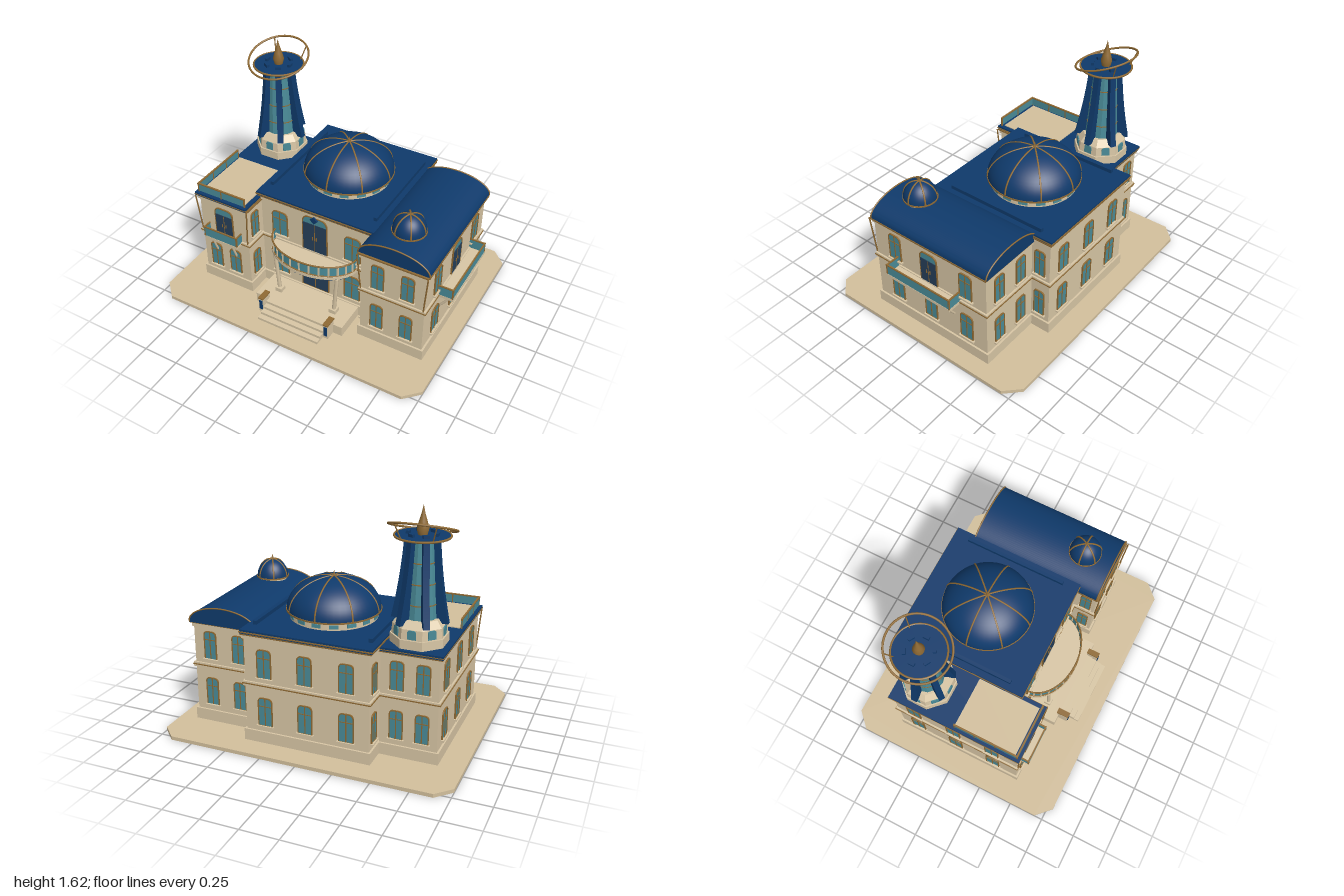
import * as THREE from 'three';
import { toCreasedNormals } from 'three/addons/utils/BufferGeometryUtils.js';

const mat = (name, color, side = THREE.FrontSide) => {
  const m = new THREE.MeshStandardMaterial({ color, side });
  m.name = name;
  return m;
};

export function createModel() {
  const cream = mat('cream stone', 0xd8c6a5), paving = mat('paving', 0xd2bf9c);
  const blue = mat('blue roof', 0x0f3a6b), gold = mat('gold trim', 0x8f6a34);
  const glass = mat('teal glass', 0x4a8b98, THREE.DoubleSide), navy = mat('navy door', 0x263f59);
  const root = new THREE.Group();
  root.name = 'domedVilla';

  const add = (name, geo, m, parent = root, x = 0, y = 0, z = 0) => {
    const mesh = new THREE.Mesh(geo, m);
    mesh.name = name;
    mesh.position.set(x, y, z);
    parent.add(mesh);
    return mesh;
  };
  const group = (name, x, y, z, ry = 0, parent = root) => {
    const g = new THREE.Group();
    g.name = name;
    g.position.set(x, y, z);
    g.rotation.y = ry;
    parent.add(g);
    return g;
  };
  // box given by its limits
  const box = (name, m, x0, x1, y0, y1, z0, z1, parent = root) =>
    add(name, new THREE.BoxGeometry(x1 - x0, y1 - y0, z1 - z0), m, parent, (x0 + x1) / 2, (y0 + y1) / 2, (z0 + z1) / 2);
  const V = (x, y, z) => new THREE.Vector3(x, y, z);
  const extrude = (shape, depth) =>
    new THREE.ExtrudeGeometry(shape, { depth, bevelEnabled: false, curveSegments: 24 });
  const flat = (geo) => { const g = geo.toNonIndexed(); g.computeVertexNormals(); return g; };
  const strut = (name, m, a, b, r, parent = root) => {
    const mesh = add(name, new THREE.CylinderGeometry(r, r, a.distanceTo(b), 6), m, parent);
    mesh.position.copy(a).add(b).multiplyScalar(0.5);
    mesh.quaternion.setFromUnitVectors(V(0, 1, 0), b.clone().sub(a).normalize());
  };
  const tube = (name, m, pts, r, parent = root) =>
    add(name, new THREE.TubeGeometry(new THREE.CatmullRomCurve3(pts), 48, r, 6), m, parent);
  const half = (fn, n = 32) => Array.from({ length: n + 1 }, (_, i) => fn((Math.PI * i) / n));

  // opening with shouldered arch, centred on x, standing on y = 0
  const arch = (w, h, C = THREE.Shape) => {
    const s = new C(), a = w / 2, r = w * 0.32;
    s.moveTo(-a, 0); s.lineTo(a, 0); s.lineTo(a, h - r);
    s.quadraticCurveTo(a, h, a - r, h); s.lineTo(r - a, h);
    s.quadraticCurveTo(-a, h, -a, h - r); s.lineTo(-a, 0);
    return s;
  };
  const frame = (w, h) => {
    const s = arch(w + 0.012, h + 0.006);
    s.holes.push(arch(w, h, THREE.Path));
    return extrude(s, 0.01);
  };
  const windowAt = (x, y, z, ry, w = 0.09, h = 0.19) => {
    const g = group('window', x, y, z, ry);
    add('windowGlass', extrude(arch(w, h), 0.005), glass, g);
    add('windowFrame', frame(w, h), gold, g);
    box('mullion', gold, -0.003, 0.003, 0, h, 0.004, 0.009, g);
    box('transom', gold, -w / 2, w / 2, h * 0.7, h * 0.7 + 0.005, 0.004, 0.009, g);
    box('sill', cream, -w / 2 - 0.015, w / 2 + 0.015, -0.012, 0, 0, 0.02, g);
  };
  const doorAt = (x, y, z, ry, w, h, transom) => {
    const g = group('door', x, y, z, ry);
    add('doorFan', extrude(arch(w, h), 0.005), transom ? glass : navy, g);
    if (transom) box('doorLeaves', navy, -w / 2, w / 2, 0, h - transom, 0.002, 0.009, g);
    add('doorFrame', frame(w, h), gold, g);
    box('doorSplit', gold, -0.002, 0.002, 0, h - transom, 0.006, 0.011, g);
    for (const s of [-1, 1]) box('doorHandle', gold, s * 0.014 - 0.003, s * 0.014 + 0.003, h * 0.35, h * 0.45, 0.006, 0.014, g);
  };

  // paved ground slab with cut corners
  const slab = new THREE.Shape();
  [[-1, -0.69], [-0.9, -0.79], [0.9, -0.79], [1, -0.69], [1, 0.69], [0.9, 0.79], [-0.9, 0.79], [-1, 0.69]]
    .forEach(([x, z], i) => (i ? slab.lineTo(x, z) : slab.moveTo(x, z)));
  add('groundSlab', extrude(slab, 0.025).rotateX(-Math.PI / 2), paving);

  // three wall blocks with plinth, string course and eaves band
  const blocks = [['centre', -0.43, 0.42, -0.62, 0.29, 0.775], ['leftHandTowerWing', -0.82, -0.44, -0.46, 0.455, 0.74],
    ['vaultedWing', 0.42, 0.87, -0.48, 0.445, 0.74]];
  for (const [n, x0, x1, z0, z1, top] of blocks) {
    const ring = (part, m, p, y0, y1) => box(n + part, m, x0 - p, x1 + p, y0, y1, z0 - p, z1 + p);
    ring('Walls', cream, 0, 0.02, top);
    ring('Plinth', cream, 0.013, 0.02, 0.105);
    ring('Course', cream, 0.012, 0.415, 0.448);
    ring('CourseLine', gold, 0.016, 0.43, 0.437);
    ring('Frieze', cream, 0.01, top - 0.035, top - 0.01);
    ring('EavesLine', gold, 0.018, top - 0.01, top);
  }

  // windows: [x, z, rotation, width] repeated on both floors
  const H = Math.PI / 2;
  const both = [[0.54, 0.445, 0, 0.08], [0.75, 0.445, 0, 0.08], [-0.285, 0.29, 0, 0.11], [0.275, 0.29, 0, 0.11],
    [-0.28, -0.62, 2 * H], [0, -0.62, 2 * H], [0.28, -0.62, 2 * H], [0.54, -0.48, 2 * H, 0.08], [0.75, -0.48, 2 * H, 0.08],
    [-0.72, -0.46, 2 * H, 0.08], [-0.55, -0.46, 2 * H, 0.08], [0.87, 0.27, H], [0.87, -0.32, H], [0.42, -0.545, H, 0.07],
    [-0.43, -0.545, -H, 0.07], [-0.82, 0.27, -H], [-0.82, -0.02, -H], [-0.82, -0.32, -H],
    [-0.44, 0.375, H, 0.07], [0.42, 0.375, -H, 0.07]];
  for (const [x, z, r, w] of both) for (const y of [0.15, 0.485]) windowAt(x, y, z, r, w);
  for (const x of [-0.72, -0.56]) windowAt(x, 0.15, 0.455, 0, 0.08);
  windowAt(0.87, 0.15, -0.02, H);

  // doors
  doorAt(-0.01, 0.115, 0.29, 0, 0.2, 0.265, 0);
  doorAt(-0.01, 0.445, 0.29, 0, 0.18, 0.285, 0.055);
  doorAt(-0.63, 0.445, 0.455, 0, 0.135, 0.225, 0.05);
  doorAt(0.87, 0.445, -0.02, H, 0.13, 0.23, 0.05);
  const diamond = box('diamondPanel', blue, -0.02, 0.02, -0.02, 0.02, 0, 0.02);
  diamond.position.set(-0.01, 0.72, 0.3);
  diamond.rotation.z = Math.PI / 4;

  // flared corner brackets on the wings
  for (const [x, s, z] of [[-0.82, -1, 0.465], [-0.44, 1, 0.465], [0.42, -1, 0.455], [0.87, 1, 0.455]])
    strut('cornerBracket', gold, V(x - s * 0.004, 0.45, z), V(x + s * 0.018, 0.735, z + 0.015), 0.005);

  // flat roof of the centre with two long ridge lights
  box('centreRoof', blue, -0.455, 0.437, 0.775, 0.802, -0.64, 0.31);
  box('centreRoofTrim', gold, -0.46, 0.442, 0.782, 0.79, -0.645, 0.315);
  for (const x of [-0.4, 0.385]) box('roofRidge', blue, x - 0.012, x + 0.012, 0.8, 0.828, -0.53, 0.2);

  // vaulted roof
  const vault = new THREE.Shape();
  vault.moveTo(0.4, 0.735);
  vault.lineTo(0.89, 0.735);
  vault.lineTo(0.89, 0.745);
  vault.absellipse(0.645, 0.745, 0.245, 0.112, 0, Math.PI);
  vault.lineTo(0.4, 0.735);
  add('vaultRoof', toCreasedNormals(extrude(vault, 0.95), 0.6), blue, root, 0, 0, -0.5);
  for (const z of [-0.5, 0.45])
    tube('vaultTrim', gold, half((t) => V(0.645 + 0.247 * Math.cos(t), 0.743 + 0.114 * Math.sin(t), z)), 0.005);
  for (const x of [0.4, 0.89]) box('vaultEavesTrim', gold, x - 0.004, x + 0.004, 0.733, 0.743, -0.5, 0.455);

  // tower wing roof and terrace
  box('wingRoof', blue, -0.842, -0.43, 0.738, 0.762, -0.48, 0.48);
  box('wingRoofTrim', gold, -0.845, -0.425, 0.745, 0.75, -0.483, 0.483);
  box('terraceFloor', paving, -0.81, -0.46, 0.758, 0.768, 0, 0.44);
  box('terraceGlassFront', glass, -0.82, -0.45, 0.768, 0.822, 0.455, 0.461);
  box('terraceGlassSide', glass, -0.823, -0.817, 0.768, 0.822, 0, 0.46);
  box('terraceRailFront', gold, -0.826, -0.445, 0.822, 0.83, 0.452, 0.464);
  box('terraceRailSide', gold, -0.826, -0.814, 0.822, 0.83, 0, 0.464);
  for (const x of [-0.82, -0.635, -0.45]) box('terracePost', gold, x - 0.004, x + 0.004, 0.762, 0.826, 0.453, 0.463);
  for (const z of [0.004, 0.15, 0.3]) box('terracePost', gold, -0.825, -0.815, 0.762, 0.826, z - 0.004, z + 0.004);

  // ribbed domes
  const dome = (name, x, y, z, r, h, ribs) => {
    const g = group(name, x, y, z);
    const shell = group(name + 'Shell', 0, 0, 0, 0, g);
    shell.scale.y = h / r;
    add('domeShell', new THREE.SphereGeometry(r, 48, 16, 0, Math.PI * 2, 0, H), blue, shell);
    for (let i = 0; i < ribs; i++)
      add('domeRib', new THREE.TorusGeometry(r, 0.006, 6, 40, Math.PI), gold, shell).rotation.y = (i * Math.PI) / ribs;
    add('domeRim', new THREE.CylinderGeometry(r + 0.004, r + 0.004, 0.01, 48), gold, g);
    add('domeFinial', new THREE.ConeGeometry(0.012, 0.045, 8), gold, g, 0, h + 0.015, 0);
  };
  dome('mainDome', -0.01, 0.855, -0.17, 0.31, 0.217, 4);
  dome('smallDome', 0.645, 0.868, 0.24, 0.11, 0.122, 3);
  add('smallDomeDrum', new THREE.CylinderGeometry(0.1, 0.1, 0.06, 32), cream, root, 0.645, 0.838, 0.24);
  add('mainDrum', new THREE.CylinderGeometry(0.29, 0.29, 0.055, 48), cream, root, -0.01, 0.825, -0.17);
  for (let i = 0; i < 16; i++) {
    const g = group('drumLight', -0.01, 0.815, -0.17, (i * Math.PI) / 8);
    box('drumGlass', glass, -0.03, 0.03, 0, 0.024, 0.287, 0.294, g);
  }

  // tower: octagonal base, tapering glass shaft, six swept fins
  const tower = group('tower', -0.63, 0, -0.285);
  const pts = [[0.185, 0.755], [0.185, 0.82], [0.175, 0.82], [0.17, 0.885], [0.135, 0.93], [0, 0.93]];
  add('towerBase', flat(new THREE.LatheGeometry(pts.map(([r, y]) => new THREE.Vector2(r, y)), 8, Math.PI / 8)), cream, tower);
  for (let i = 0; i < 8; i++) {
    const g = group('towerBaseWindow', 0, 0.825, 0, (i * Math.PI) / 4, tower);
    add('towerBaseGlass', extrude(arch(0.055, 0.058), 0.008), glass, g, 0, 0, 0.156);
  }
  add('towerShaft', flat(new THREE.CylinderGeometry(0.08, 0.115, 0.5, 12)), glass, tower, 0, 1.17, 0);
  for (const y of [1.02, 1.15, 1.28]) {
    const r = 0.118 - (y - 0.92) * 0.07;
    add('shaftBand', new THREE.CylinderGeometry(r, r, 0.006, 12), gold, tower, 0, y, 0);
  }
  const fin = new THREE.Shape();
  fin.moveTo(0.1, 0.9);
  fin.lineTo(0.183, 0.9);
  fin.quadraticCurveTo(0.125, 1.17, 0.108, 1.42);
  fin.lineTo(0.065, 1.42);
  fin.lineTo(0.1, 0.9);
  for (let i = 0; i < 6; i++) {
    const g = group('towerFin', 0, 0, 0, (i * Math.PI) / 3, tower);
    add('fin', extrude(fin, 0.04), blue, g, 0, 0, -0.02);
    box('capBlock', blue, 0.08, 0.1, 1.43, 1.456, -0.02, 0.02, g);
  }
  add('towerCap', new THREE.CylinderGeometry(0.17, 0.11, 0.025, 32), blue, tower, 0, 1.425, 0);
  add('capRim', new THREE.TorusGeometry(0.17, 0.007, 6, 40).rotateX(H), gold, tower, 0, 1.434, 0);
  const spire = [[0.028, 1.435], [0.038, 1.475], [0.026, 1.52], [0.012, 1.565], [0, 1.62]];
  add('spire', new THREE.LatheGeometry(spire.map(([r, y]) => new THREE.Vector2(r, y)), 16), gold, tower);
  const halo = add('tiltedRing', new THREE.TorusGeometry(0.208, 0.007, 8, 56).rotateX(H), gold, tower, 0, 1.482, 0);
  halo.rotation.x = 0.325;
  for (const s of [-1, 1]) strut('ringStay', gold, V(s * 0.1, 1.435, -0.12), V(s * 0.13, 1.534, -0.154), 0.004, tower);

  // curved front balcony
  const bal = group('frontBalcony', -0.01, 0, 0.29);
  const oval = (rx, rz) => {
    const s = new THREE.Shape();
    s.absellipse(0, 0, rx, rz, Math.PI, Math.PI * 2);
    return s;
  };
  add('balconySlab', extrude(oval(0.325, 0.22), 0.022).rotateX(-H), cream, bal, 0, 0.415, 0);
  add('balconySoffit', extrude(oval(0.315, 0.21), 0.012).rotateX(-H), blue, bal, 0, 0.403, 0);
  add('balconyGlass', new THREE.CylinderGeometry(0.315, 0.315, 0.075, 40, 1, true, -H, Math.PI), glass, bal, 0, 0.475, 0)
    .scale.z = 0.21 / 0.315;
  for (const y of [0.437, 0.515])
    tube('balconyRail', gold, half((t) => V(0.318 * Math.cos(t), y, 0.213 * Math.sin(t))), 0.006, bal);
  for (const p of half((t) => V(0.317 * Math.cos(t), 0, 0.212 * Math.sin(t)), 14))
    box('balconyPost', cream, p.x - 0.005, p.x + 0.005, 0.435, 0.515, p.z - 0.005, p.z + 0.005, bal);
  for (const s of [-1, 1]) {
    strut('balconyColumn', cream, V(s * 0.215, 0.1, 0.13), V(s * 0.24, 0.405, 0.13), 0.014, bal);
    box('columnFoot', cream, s * 0.215 - 0.025, s * 0.215 + 0.025, 0.1, 0.13, 0.105, 0.155, bal);
  }

  // straight balconies: local z points out of the wall
  const balcony = (x, z, ry, w, d) => {
    const g = group('sideBalcony', x, 0, z, ry), a = w / 2;
    box('balconyFloor', cream, -a, a, 0.422, 0.442, 0, d, g);
    box('balconyGlassFront', glass, -a, a, 0.442, 0.51, d - 0.008, d - 0.002, g);
    box('balconyRailFront', gold, -a - 0.003, a + 0.003, 0.51, 0.518, d - 0.01, d, g);
    for (const s of [-1, 1]) {
      const e = s * (a - 0.004);
      box('balconyGlassSide', glass, e - 0.003, e + 0.003, 0.442, 0.51, 0, d, g);
      box('balconyRailSide', gold, e - 0.005, e + 0.005, 0.51, 0.518, 0, d, g);
      box('balconyPost', gold, e - 0.005, e + 0.005, 0.44, 0.512, d - 0.01, d, g);
      strut('balconyBracket', cream, V(s * (a - 0.055), 0.3, 0.005), V(s * (a - 0.055), 0.425, d - 0.015), 0.008, g);
    }
  };
  balcony(0.87, -0.01, H, 0.53, 0.11);
  balcony(-0.63, 0.455, 0, 0.27, 0.065);

  // entrance platform, steps and pedestals
  box('entrancePlatform', cream, -0.35, 0.33, 0.02, 0.1, 0.29, 0.53);
  for (let i = 0; i < 4; i++) box('step', cream, -0.245, 0.225, 0.02, 0.1 - i * 0.019, 0.5, 0.565 + i * 0.037);
  for (const x of [-0.265, 0.245]) {
    box('pedestal', cream, x - 0.018, x + 0.018, 0.02, 0.138, 0.52, 0.6);
    box('pedestalCap', gold, x - 0.02, x + 0.02, 0.138, 0.147, 0.515, 0.605);
    box('pedestalPanel', blue, x - 0.012, x + 0.012, 0.05, 0.125, 0.598, 0.605);
  }
  return root;
}
